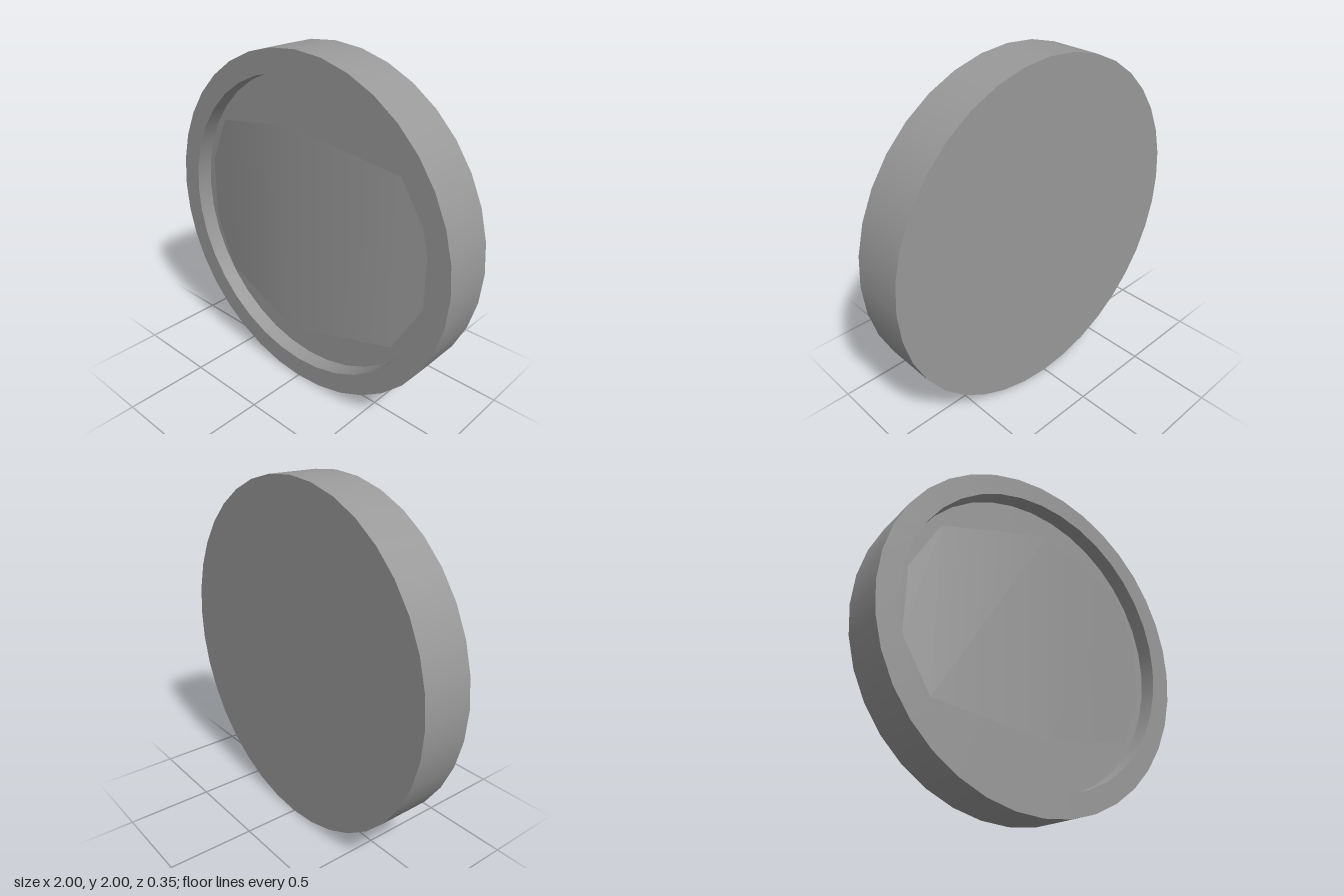
import * as THREE from 'three';

const grey = new THREE.MeshStandardMaterial({ color: 0x999999 });
const sheet = new THREE.MeshStandardMaterial({ color: 0x999999, side: THREE.DoubleSide });

// Round dish, one turned band per surface so the edges between them stay sharp
function dish() {
  const profile = [[0, -0.175], [1, -0.175], [1, 0.128], [0.873, 0.128], [0.873, 0.03], [0, 0.03]]
    .map(([r, h]) => new THREE.Vector2(r, h));
  const names = ['back', 'outerWall', 'rim', 'innerWall', 'recessFloor'];
  const group = new THREE.Group();
  group.name = 'dish';
  names.forEach((name, i) => {
    const geometry = new THREE.LatheGeometry(profile.slice(i, i + 2), 36).rotateX(Math.PI / 2);
    geometry.normalizeNormals();
    const mesh = new THREE.Mesh(geometry, grey);
    mesh.name = name;
    group.add(mesh);
  });
  return group;
}

// Eight-sided face plate, bowed forward along its vertical centre line
function facePlate() {
  const columns = [[-0.802, 0.195], [-0.64, 0.492], [0, 0.619], [0.64, 0.492], [0.802, 0.195]];
  const slope = 0.163;
  const positions = [], normals = [], index = [];
  columns.forEach(([x, half], i) => {
    const z = 0.175 - slope * Math.abs(x);
    positions.push(x, -half, z, x, half, z);
    // smooth shading across the width only
    const n = new THREE.Vector3(slope * Math.sign(x), 0, 1).normalize();
    normals.push(...n, ...n);
    if (i > 0) {
      const a = 2 * (i - 1);
      index.push(a, a + 2, a + 3, a, a + 3, a + 1);
    }
  });
  const geometry = new THREE.BufferGeometry();
  geometry.setAttribute('position', new THREE.Float32BufferAttribute(positions, 3));
  geometry.setAttribute('normal', new THREE.Float32BufferAttribute(normals, 3));
  geometry.setIndex(index);
  const mesh = new THREE.Mesh(geometry, sheet);
  mesh.name = 'facePlate';
  return mesh;
}

export function createModel() {
  const model = new THREE.Group();
  model.name = 'roundDial';
  model.add(dish(), facePlate());
  model.children.forEach((part) => { part.position.y = 1; });
  return model;
}
